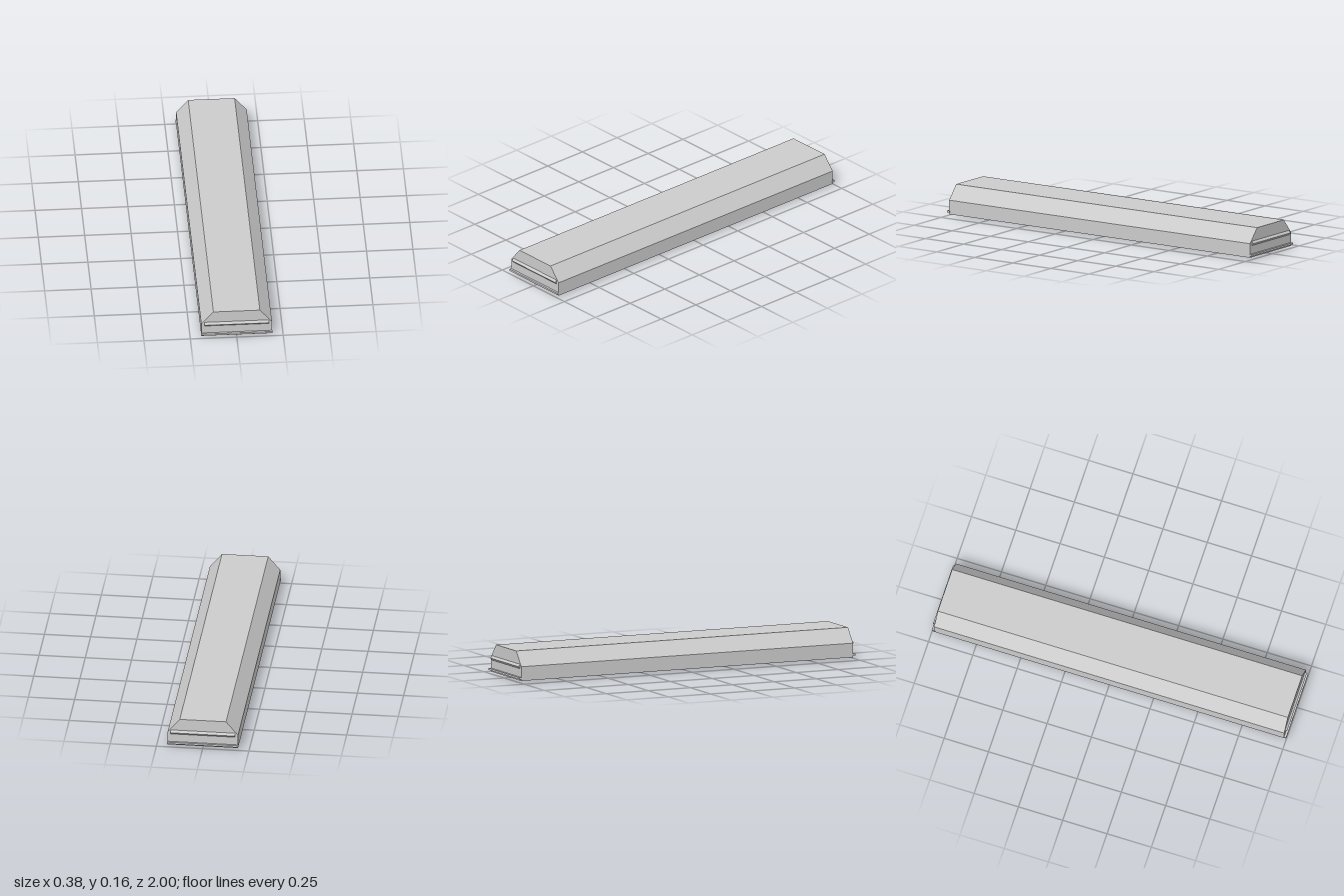
import * as THREE from 'three';

const LAMP_X = [-0.103, 0, 0.103];
const BOTTOM = 0.009, LAMP_Y = 0.04, TROUGH_END = 0.93, BODY_END = 0.988;

export function createModel() {
  const model = new THREE.Group();
  const grey = new THREE.MeshStandardMaterial({ color: 0xcccccc, flatShading: true });

  const add = (name, geometry, x = 0, y = 0, z = 0) => {
    const mesh = new THREE.Mesh(geometry, grey);
    mesh.name = name;
    mesh.position.set(x, y, z);
    model.add(mesh);
    return mesh;
  };

  // Extrude a cross-section along z, centred on the origin
  const extrude = (points, length) => {
    const shape = new THREE.Shape(points.map(([x, y]) => new THREE.Vector2(x, y)));
    const g = new THREE.ExtrudeGeometry(shape, { depth: length, bevelEnabled: false });
    return g.translate(0, 0, -length / 2);
  };

  const octagonalRod = (radius, length) =>
    new THREE.CylinderGeometry(radius, radius, length, 8).rotateX(Math.PI / 2);

  // Housing: bevelled roof above, lamp troughs cut into the underside
  const roof = [[0.19, BOTTOM], [0.19, 0.086], [0.125, 0.163], [-0.125, 0.163], [-0.19, 0.086], [-0.19, BOTTOM]];
  const troughs = LAMP_X.flatMap((x) => [
    [x - 0.049, BOTTOM], [x - 0.036, 0.075], [x + 0.036, 0.075], [x + 0.049, BOTTOM],
  ]);
  add('housing', extrude([...roof, ...troughs], TROUGH_END * 2));

  const capLength = BODY_END - TROUGH_END;
  for (const end of [1, -1]) {
    // Solid end of the housing
    add('endCap', extrude(roof, capLength), 0, 0, end * (TROUGH_END + capLength / 2));

    // V-shaped ridge across the end
    const ridge = extrude([[0, -0.012], [0.011, 0], [0, 0.012]], 0.348).rotateY(-Math.PI / 2);
    add('endRidge', ridge, 0, 0.085, end * BODY_END).rotation.y = end > 0 ? 0 : Math.PI;

    // Lip along the lower edge of the end
    add('endLip', new THREE.BoxGeometry(0.384, 0.01, 0.016), 0, 0.023, end * 0.992);
  }

  // Lamps with a socket at each end
  for (const x of LAMP_X) {
    add('lampTube', octagonalRod(0.028, 1.84), x, LAMP_Y, 0);
    for (const end of [1, -1]) {
      add('lampSocket', octagonalRod(0.04, 0.024), x, LAMP_Y, end * 0.918);
    }
  }

  return model;
}
